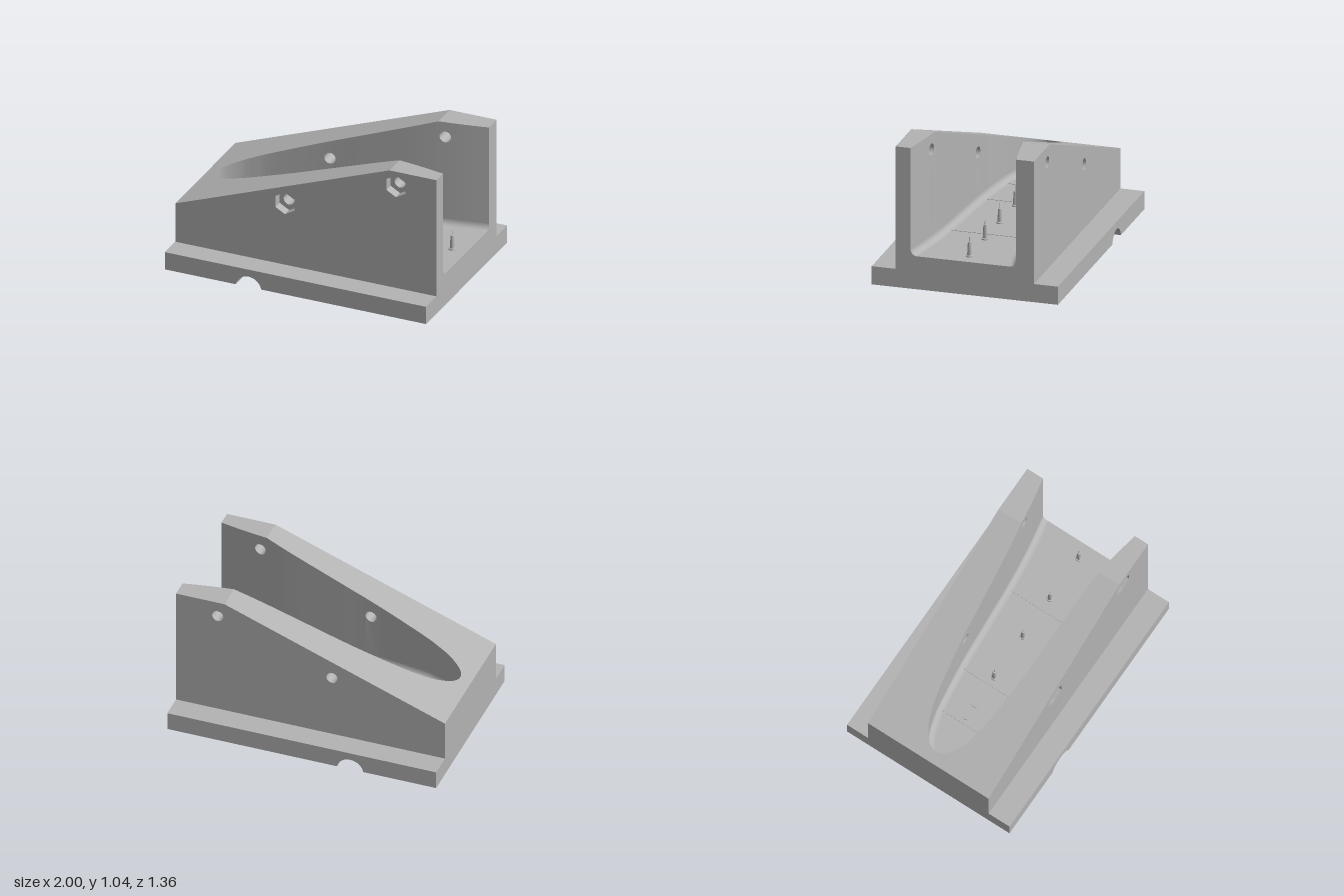
import * as THREE from 'three';
import { mergeGeometries, toCreasedNormals } from 'three/addons/utils/BufferGeometryUtils.js';

const HALF = 0.505, BASE_HALF = 0.68, BASE_TOP = 0.135, PEAK = 1.045, KNEE = 0.64;
const FLOOR = 0.245, FILLET = 0.045, CZ = 0.01, NOSE = -0.92, HEX_DEPTH = 0.07;
const BOLTS = [[-0.16, 0.615], [0.69, 0.93]], BORE = 0.042, HEX = 0.085;
const V = (x, y) => new THREE.Vector2(x, y);

// Height of the sloping top edge
const top = x => Math.min(PEAK, 0.435 + (x + 1) * (PEAK - 0.435) / (KNEE + 1));

// Flat sheet mapped into space; flip reverses its facing
function sheet(points, holes, map, flip) {
  const shape = new THREE.Shape(points);
  holes.forEach(h => shape.holes.push(new THREE.Path(h)));
  const geo = new THREE.ShapeGeometry(shape);
  const p = geo.attributes.position, ix = geo.index.array;
  for (let i = 0; i < p.count; i++) p.setXYZ(i, ...map(p.getX(i), p.getY(i)));
  if (flip) for (let i = 0; i < ix.length; i += 3) [ix[i], ix[i + 1]] = [ix[i + 1], ix[i]];
  geo.computeVertexNormals();
  return geo;
}

const ring = (cx, cy, r, n, start = 0) => Array.from({ length: n }, (_, i) => {
  const a = start + i / n * Math.PI * 2;
  return V(cx + r * Math.cos(a), cy + r * Math.sin(a));
});

export function createModel() {
  const group = new THREE.Group();
  const grey = new THREE.MeshStandardMaterial({ color: 0xb3b3b3, side: THREE.DoubleSide });
  grey.name = 'plain grey';
  const add = (name, geo) => {
    const mesh = new THREE.Mesh(geo, grey);
    mesh.name = name;
    group.add(mesh);
    return mesh;
  };

  // Base plate with a round channel across its underside
  const baseShape = new THREE.Shape();
  baseShape.moveTo(-1, 0);
  baseShape.lineTo(-0.458, 0);
  const lift = Math.asin(0.2);
  baseShape.absarc(-0.36, -0.02, 0.1, Math.PI - lift, lift, true);
  baseShape.lineTo(1, 0);
  baseShape.lineTo(1, BASE_TOP);
  baseShape.lineTo(-1, BASE_TOP);
  const base = new THREE.ExtrudeGeometry(baseShape, { depth: 2 * BASE_HALF, bevelEnabled: false, curveSegments: 24 });
  base.translate(0, 0, -BASE_HALF);
  add('basePlate', toCreasedNormals(base, 0.5));

  // Plan outline of the bullet-shaped cavity, relative to its centre line
  const half = [[1, 0.385], [0.82, 0.351], [0.64, 0.325], [0.43, 0.302], [0.1, 0.278], [-0.23, 0.253],
    [-0.57, 0.208], [-0.7, 0.178], [-0.8, 0.141], [-0.89, 0.074]];
  const plan = new THREE.SplineCurve([
    ...half.map(([x, z]) => V(x, z)), V(NOSE, 0), ...half.map(([x, z]) => V(x, -z)).reverse()]);
  const outline = plan.getPoints(160);
  const side = outline.slice(0, 81).reverse();
  const width = x => {
    let i = 1;
    while (i < side.length - 1 && side[i].x < x) i++;
    const a = side[i - 1], b = side[i];
    return a.y + (b.y - a.y) * Math.min(1, Math.max(0, (x - a.x) / (b.x - a.x)));
  };

  // Strip boundaries, leaving one whole strip around each bolt hole
  const spans = BOLTS.map(b => [b[0] - 0.05, b[0] + 0.05]);
  const xs = side.map(p => p.x).filter(x => !spans.some(([a, b]) => x > a - 0.004 && x < b + 0.004));
  xs.push(...spans.flat());
  xs.sort((a, b) => a - b);

  // Inner walls and top faces, strip by strip
  const walls = [], tops = [];
  const onTop = (x, z) => [x, top(x), z];
  tops.push(sheet([V(-1, -HALF), V(NOSE, -HALF), V(NOSE, HALF), V(-1, HALF)], [], onTop, true));
  for (const s of [1, -1]) {
    for (let i = 1; i < xs.length; i++) {
      const a = xs[i - 1], b = xs[i];
      const holes = BOLTS.filter(h => h[0] > a && h[0] < b).map(h => ring(h[0], h[1], BORE, 32));
      walls.push(sheet([V(a, FLOOR + FILLET), V(b, FLOOR + FILLET), V(b, top(b)), V(a, top(a))], holes,
        (x, y) => [x, y, CZ + s * width(x)], s > 0));
      tops.push(sheet([V(a, CZ + s * width(a)), V(b, CZ + s * width(b)), V(b, s * HALF), V(a, s * HALF)],
        [], onTop, true));
    }
  }
  add('cavityWall', toCreasedNormals(mergeGeometries(walls), 0.6));
  add('topFaces', toCreasedNormals(mergeGeometries(tops), 0.1));

  // Fillet between cavity wall and floor
  const N = 6, pos = [], index = [], floorEdge = [];
  outline.forEach((p, i) => {
    const a = outline[Math.max(0, i - 1)], b = outline[Math.min(160, i + 1)];
    const t = i === 0 ? V(-1, 0) : i === 160 ? V(1, 0) : b.clone().sub(a).normalize();
    for (let j = 0; j <= N; j++) {
      const ang = j / N * Math.PI / 2, inset = FILLET * (1 - Math.cos(ang));
      const x = p.x - t.y * inset, z = CZ + p.y + t.x * inset;
      pos.push(x, FLOOR + FILLET * (1 - Math.sin(ang)), z);
      if (j === N) floorEdge.push(V(x, z));
      if (i < 160 && j < N) {
        const k = i * (N + 1) + j, m = k + N + 1;
        index.push(k, k + 1, m, m, k + 1, m + 1);
      }
    }
  });
  const fillet = new THREE.BufferGeometry();
  fillet.setAttribute('position', new THREE.Float32BufferAttribute(pos, 3));
  fillet.setIndex(index);
  fillet.computeVertexNormals();
  add('cavityFillet', fillet);
  add('cavityFloor', sheet(floorEdge, [], (x, z) => [x, FLOOR, z], true));

  // Outer side faces: hexagonal pockets in front, round holes behind
  const profile = [V(-1, BASE_TOP), V(1, BASE_TOP), V(1, PEAK), V(KNEE, PEAK), V(-1, top(-1))];
  const hexagon = ([x, y]) => ring(x, y, HEX, 6, Math.PI / 6);
  const circle = ([x, y]) => ring(x, y, BORE, 32);
  add('frontFace', sheet(profile, BOLTS.map(hexagon), (x, y) => [x, y, HALF], false));
  add('backFace', sheet(profile, BOLTS.map(circle), (x, y) => [x, y, -HALF], true));

  // Open and closed end faces
  const arc = Array.from({ length: N + 1 }, (_, j) => {
    const a = j / N * Math.PI / 2;
    return [0.385 - FILLET * (1 - Math.cos(a)), FLOOR + FILLET * (1 - Math.sin(a))];
  });
  add('openEnd', sheet([V(-HALF, BASE_TOP), V(HALF, BASE_TOP), V(HALF, PEAK), V(CZ + 0.385, PEAK),
    ...arc.map(([z, y]) => V(CZ + z, y)), ...arc.map(([z, y]) => V(CZ - z, y)).reverse(),
    V(CZ - 0.385, PEAK), V(-HALF, PEAK)], [], (z, y) => [1, y, z], true));
  add('closedEnd', sheet([V(-HALF, BASE_TOP), V(HALF, BASE_TOP), V(HALF, top(-1)), V(-HALF, top(-1))],
    [], (z, y) => [-1, y, z], false));

  // Bolt bores and nut pockets
  for (const bolt of BOLTS) {
    const [bx, by] = bolt;
    for (const s of [1, -1]) {
      const bore = new THREE.CylinderGeometry(BORE, BORE, 1, 32, 1, true).rotateX(Math.PI / 2);
      const p = bore.attributes.position;
      const outer = s > 0 ? HALF - HEX_DEPTH : -HALF;
      for (let i = 0; i < p.count; i++) {
        const x = p.getX(i) + bx;
        p.setXYZ(i, x, p.getY(i) + by, p.getZ(i) * s > 0 ? outer : CZ + s * width(x));
      }
      add('boltBore', bore);
    }
    const pocket = new THREE.CylinderGeometry(HEX, HEX, HEX_DEPTH, 6, 1, true).rotateX(Math.PI / 2);
    pocket.translate(bx, by, HALF - HEX_DEPTH / 2);
    add('nutPocketSides', toCreasedNormals(pocket, 0.3));
    add('nutPocketFloor', sheet(hexagon(bolt), [circle(bolt)], (x, y) => [x, y, HALF - HEX_DEPTH], false));
  }

  // Small tapered pins along the floor
  const pin = toCreasedNormals(new THREE.LatheGeometry([V(0.025, 0), V(0.025, 0.008), V(0.017, 0.012),
    V(0.012, 0.108), V(0.003, 0.11), V(0.002, 0.152), V(0, 0.153)], 16), 0.5);
  for (const x of [-0.17, 0.19, 0.53, 0.89]) add('floorPin', pin).position.set(x, FLOOR, 0);

  // Low studs and fine ribs on the floor
  for (const [x, r] of [[-0.53, 0.018], [-0.41, 0.025]])
    add('floorStud', new THREE.CylinderGeometry(r, r, 0.008, 20)).position.set(x, FLOOR + 0.002, 0);
  for (const x of [-0.575, -0.235, 0.43])
    add('floorRib', new THREE.BoxGeometry(0.009, 0.006, 2 * width(x) - 0.04)).position.set(x, FLOOR, CZ);

  return group;
}
